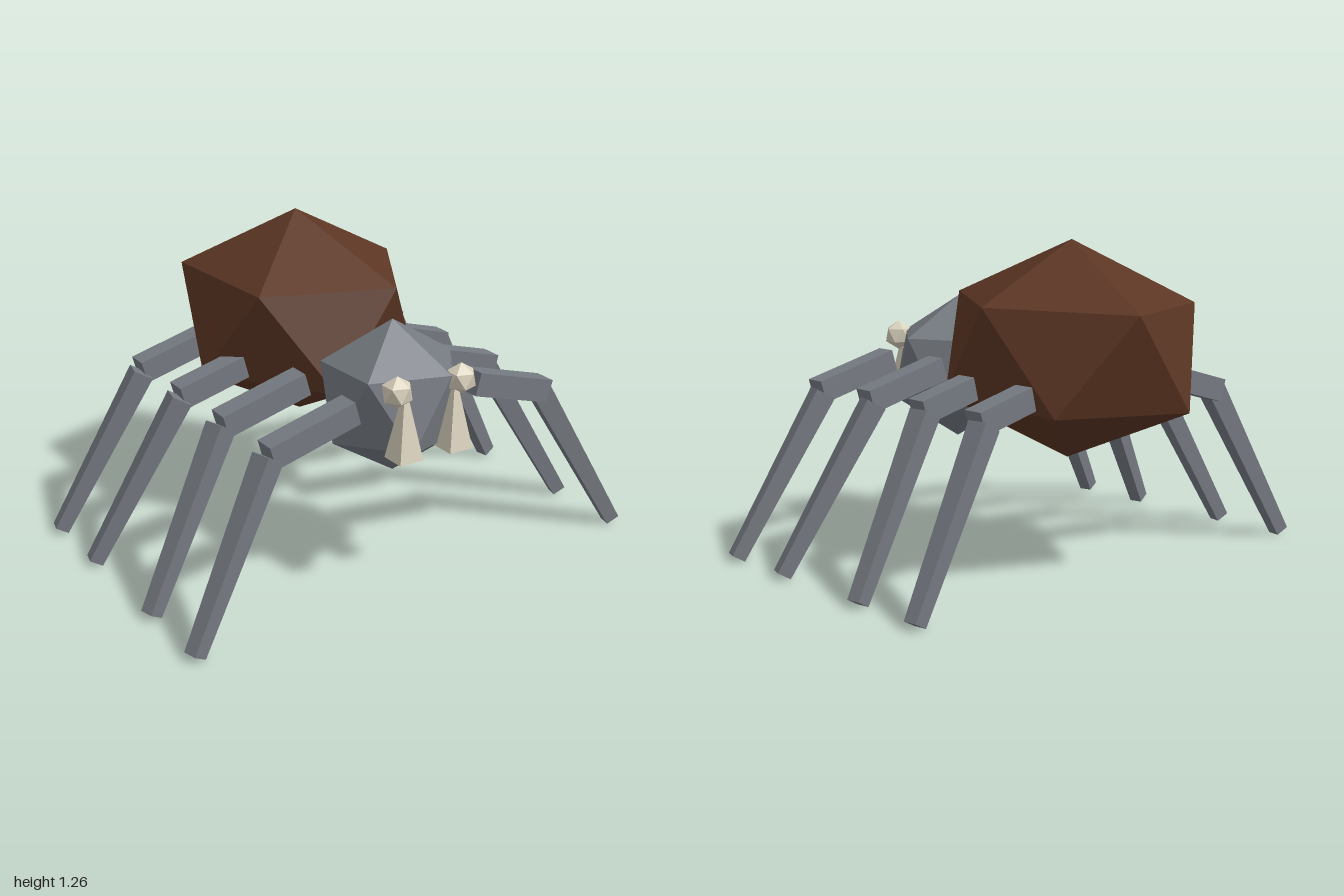
import * as THREE from 'three';
import { ConvexGeometry } from 'three/addons/geometries/ConvexGeometry.js';

const brown = new THREE.MeshStandardMaterial({ color: 0x5c3623 });
brown.name = 'abdomen brown';
const grey = new THREE.MeshStandardMaterial({ color: 0x757a81 });
grey.name = 'body grey';
const cream = new THREE.MeshStandardMaterial({ color: 0xd9d1bd });
cream.name = 'eye cream';

// Faceted twenty-sided ball standing on one point
function gem(name, rx, ry, rz, position, material) {
  const points = [new THREE.Vector3(0, ry, 0), new THREE.Vector3(0, -ry, 0)];
  const h = 1 / Math.sqrt(5);
  for (let i = 0; i < 10; i++) {
    const a = (i * Math.PI) / 5;
    const y = i % 2 ? -h : h;
    points.push(new THREE.Vector3(2 * h * rx * Math.cos(a), y * ry, 2 * h * rz * Math.sin(a)));
  }
  const mesh = new THREE.Mesh(new ConvexGeometry(points), material);
  mesh.name = name;
  mesh.position.set(...position);
  return mesh;
}

// Four-sided tapered bar with flat normals, along y
function bar(topWidth, bottomWidth, length) {
  const g = new THREE.CylinderGeometry(topWidth / Math.SQRT2, bottomWidth / Math.SQRT2, length, 4);
  g.rotateY(Math.PI / 4);
  const flat = g.toNonIndexed();
  flat.computeVertexNormals();
  return flat;
}

// Bar running from a to b, with two of its edges kept level
function limb(name, a, b, startWidth, endWidth) {
  const start = new THREE.Vector3(...a);
  const end = new THREE.Vector3(...b);
  const up = start.clone().sub(end);
  const length = up.length();
  up.normalize();
  const level = new THREE.Vector3().crossVectors(up, new THREE.Vector3(0, 1, 0)).normalize();
  const side = new THREE.Vector3().crossVectors(up, level);
  const mesh = new THREE.Mesh(bar(startWidth, endWidth, length), grey);
  mesh.quaternion.setFromRotationMatrix(new THREE.Matrix4().makeBasis(side, up, level));
  mesh.position.addVectors(start, end).multiplyScalar(0.5);
  mesh.name = name;
  return mesh;
}

export function createModel() {
  const model = new THREE.Group();
  model.name = 'spider';

  // Body, pitched slightly nose up
  const abdomen = gem('abdomen', 0.492, 0.42, 0.592, [0, 0.84, -0.245], brown);
  const head = gem('head', 0.297, 0.297, 0.297, [-0.017, 0.705, 0.452], grey);
  abdomen.rotation.x = head.rotation.x = -0.025;
  model.add(abdomen, head);

  // Eyes, each with a fang below
  for (const [side, x, z] of [['right', -0.162, 0.685], ['left', 0.112, 0.693]]) {
    model.add(gem(side + 'Eye', 0.061, 0.061, 0.061, [x, 0.823, z], cream));
    const fang = new THREE.Mesh(bar(0.002, 0.1, 0.28), cream);
    fang.name = side + 'Fang';
    fang.position.set(x + (side === 'right' ? 0.03 : -0.03), 0.705, z + 0.006);
    model.add(fang);
  }

  // Four pairs of legs: z of thigh, knee and foot
  const legs = {
    left: [[0.575, 0.53, 0.63], [0.245, 0.19, 0.3], [-0.085, -0.13, -0.19], [-0.412, -0.465, -0.52]],
    right: [[0.56, 0.575, 0.66], [0.227, 0.24, 0.325], [-0.105, -0.085, -0.165], [-0.438, -0.415, -0.495]],
  };
  for (const [side, list] of Object.entries(legs)) {
    const s = side === 'left' ? 1 : -1;
    const shift = -0.008;
    list.forEach(([thigh, knee, foot], i) => {
      const leg = new THREE.Group();
      leg.name = `${side}Leg${i + 1}`;
      leg.add(
        limb('upperLeg', [s * 0.265 + shift, 0.742, thigh - s * 0.003], [s * 0.61 + shift, 0.645, thigh + s * 0.003], 0.09, 0.09),
        limb('lowerLeg', [s * 0.617 + shift, 0.645, knee], [s * 0.968 + shift, 0.016, foot], 0.082, 0.056),
      );
      model.add(leg);
    });
  }
  return model;
}
